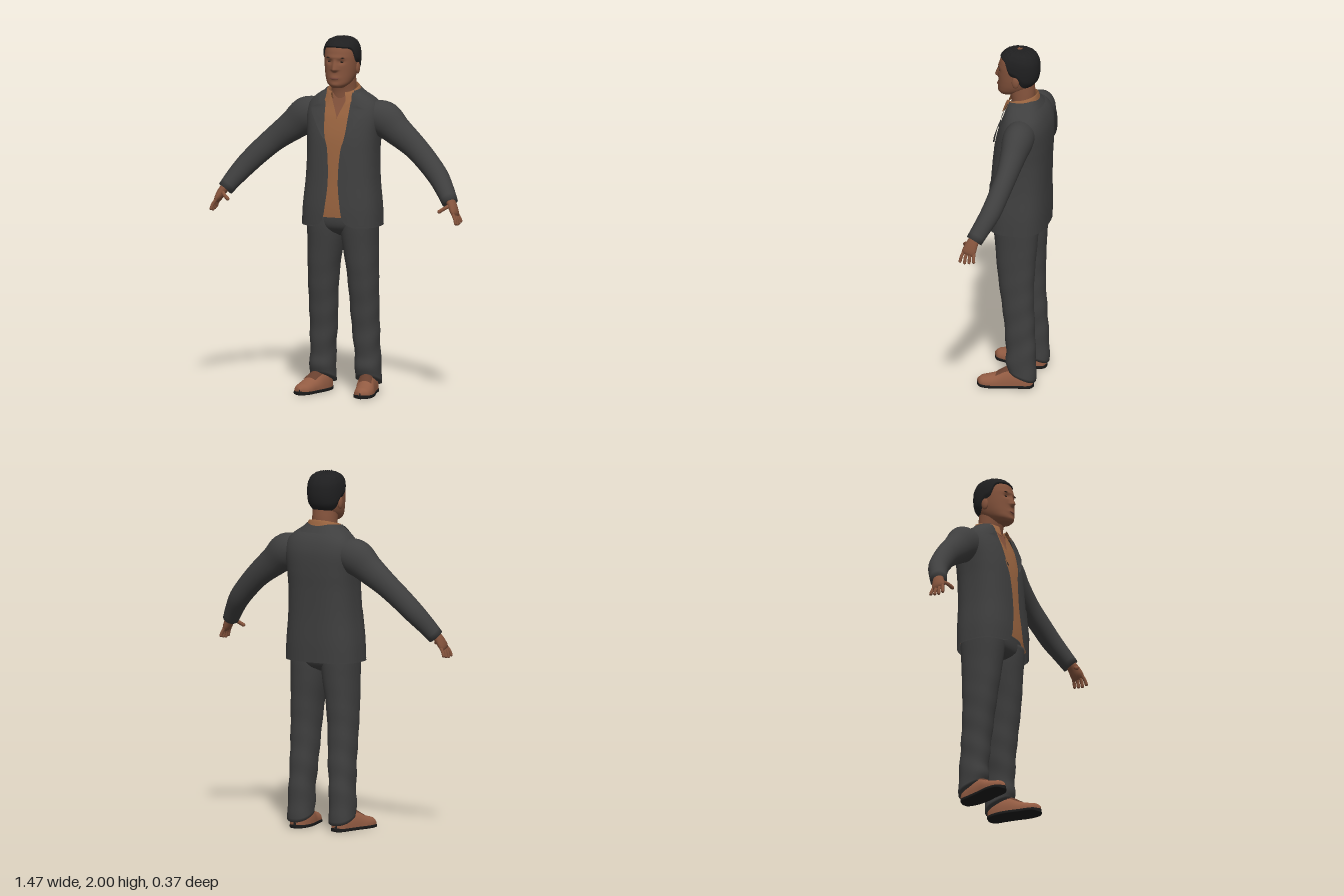
import * as THREE from 'three';
import { mergeVertices, mergeGeometries } from 'three/addons/utils/BufferGeometryUtils.js';

const mat = (name, color) => new THREE.MeshStandardMaterial({ name, color, side: THREE.DoubleSide });

// Smooth lookup in a table whose first column is an ascending key
function at(rows, k) {
  const n = rows.length - 1;
  let i = 0;
  while (i < n - 1 && k > rows[i + 1][0]) i++;
  const a = rows[i], b = rows[i + 1], h = b[0] - a[0];
  const t = THREE.MathUtils.clamp((k - a[0]) / h, 0, 1), t2 = t * t, t3 = t2 * t;
  const slope = (j, c) => {
    const p = rows[Math.max(0, j - 1)], q = rows[Math.min(n, j + 1)];
    return (q[c] - p[c]) / (q[0] - p[0]) * h;
  };
  return a.map((v, c) => v * (2 * t3 - 3 * t2 + 1) + b[c] * (3 * t2 - 2 * t3)
    + slope(i, c) * (t3 - 2 * t2 + t) + slope(i + 1, c) * (t3 - t2));
}

// Grid surface: fn(u, v) returns [x, y, z]; outside is du x dv
function sheet(nu, nv, fn) {
  const pos = [], idx = [];
  for (let j = 0; j <= nv; j++) for (let i = 0; i <= nu; i++) pos.push(...fn(i / nu, j / nv, j));
  for (let j = 0; j < nv; j++) for (let i = 0; i < nu; i++) {
    const a = j * (nu + 1) + i, c = a + nu + 1;
    idx.push(a, a + 1, c + 1, a, c + 1, c);
  }
  let g = new THREE.BufferGeometry();
  g.setAttribute('position', new THREE.Float32BufferAttribute(pos, 3));
  g.setIndex(idx);
  g = mergeVertices(g, 1e-5);
  g.computeVertexNormals();
  return g;
}

const spow = (v, p) => Math.sign(v) * Math.pow(Math.abs(v), p);

// Point on a rounded horizontal section; row = [y, centreX, halfWidth, zFront, zBack]
function ringPoint([y, cx, w, zf, zb], a, p, inset = 0) {
  const d = (zf - zb) / 2 - inset;
  return [cx + (w - inset) * spow(Math.sin(a), p), y, (zf + zb) / 2 + d * spow(Math.cos(a), p)];
}

// Upright loft, optionally open at the front by gap(y) to either side
function loft(rows, { p = 0.85, nu = 40, nv = 32, inset = 0, gap = null, caps = false, bump = null, from, to } = {}) {
  const y0 = from ?? rows[0][0], y1 = to ?? rows[rows.length - 1][0], e = caps ? 1 : 0;
  return sheet(nu, nv + 2 * e, (u, v, j) => {
    const t = THREE.MathUtils.clamp((j - e) / nv, 0, 1);
    const r = at(rows, y0 + (y1 - y0) * t);
    const a0 = gap ? Math.asin(Math.min(0.95, Math.pow(Math.max(0, gap(r[0])) / (r[2] - inset), 1 / p))) : 0;
    const a = a0 + u * (Math.PI * 2 - 2 * a0);
    if (caps && (j === 0 || j === nv + 2)) return [r[1], r[0], (r[3] + r[4]) / 2];
    const q = ringPoint(r, a, p, inset);
    return bump ? bump(q, a) : q;
  });
}

// Limb along a path; row = [x, y, z, half thickness in the xy plane, half thickness across]
function limb(rows, nu = 24, nv = 24) {
  const x0 = rows[0][0], x1 = rows[rows.length - 1][0];
  return sheet(nu, nv + 2, (u, v, j) => {
    const x = x0 + (x1 - x0) * THREE.MathUtils.clamp((j - 1) / nv, 0, 1), r = at(rows, x);
    const e = (x1 - x0) * 0.02, lo = at(rows, Math.max(x0, x - e)), hi = at(rows, Math.min(x1, x + e));
    const T = new THREE.Vector3(hi[0] - lo[0], hi[1] - lo[1], hi[2] - lo[2]).normalize();
    const U = new THREE.Vector3(0, 0, 1).cross(T).normalize(), V = T.clone().cross(U);
    const c = new THREE.Vector3(r[0], r[1], r[2]);
    if (j > 0 && j < nv + 2) {
      c.addScaledVector(U, r[3] * Math.cos(u * Math.PI * 2)).addScaledVector(V, r[4] * Math.sin(u * Math.PI * 2));
    }
    return c.toArray();
  });
}

function finger(points, r) {
  const v = points.map((p) => new THREE.Vector3(...p));
  const tip = new THREE.SphereGeometry(r, 10, 8).translate(...points[points.length - 1]);
  return mergeGeometries([new THREE.TubeGeometry(new THREE.CatmullRomCurve3(v), 8, r, 10), tip]);
}

const ball = (sx, sy, sz, x, y, z) => new THREE.SphereGeometry(1, 20, 14).scale(sx, sy, sz).translate(x, y, z);

function mirrored(geo) {
  const g = geo.clone().scale(-1, 1, 1), ix = g.index;
  for (let i = 0; i < ix.count; i += 3) {
    const b = ix.getX(i + 1);
    ix.setX(i + 1, ix.getX(i + 2));
    ix.setX(i + 2, b);
  }
  g.computeVertexNormals();
  return g;
}

const TORSO = [[0.945, 0, 0.225, 0.15, -0.175], [1.05, 0, 0.22, 0.15, -0.178], [1.2, 0, 0.205, 0.14, -0.178],
  [1.35, 0, 0.2, 0.128, -0.182], [1.45, 0, 0.205, 0.115, -0.187], [1.55, 0, 0.213, 0.09, -0.185],
  [1.61, 0, 0.203, 0.068, -0.17], [1.65, 0, 0.172, 0.055, -0.148], [1.68, 0, 0.13, 0.045, -0.12], [1.705, 0, 0.085, 0.035, -0.1]];
const OPENING = [[0.945, 0.125], [0.952, 0.1], [0.97, 0.072], [1.0, 0.056], [1.05, 0.046], [1.2, 0.03],
  [1.38, 0.04], [1.45, 0.06], [1.55, 0.07], [1.69, 0.076], [1.705, 0.07]];
const LAPEL = [[1.43, 0], [1.52, 0.05], [1.6, 0.085], [1.62, 0.045], [1.66, 0.04], [1.69, 0.02]];
const HEAD = [[1.72, 0, 0.034, 0.1, 0.02], [1.74, 0, 0.06, 0.111, -0.02], [1.77, 0, 0.077, 0.112, -0.07],
  [1.81, 0, 0.087, 0.111, -0.1], [1.85, 0, 0.091, 0.111, -0.112], [1.89, 0, 0.092, 0.108, -0.114],
  [1.93, 0, 0.088, 0.1, -0.108], [1.96, 0, 0.075, 0.082, -0.09], [1.98, 0, 0.05, 0.05, -0.06], [1.99, 0, 0.006, 0.0, -0.015]];
const HAIRLINE = [[-1, 1.775], [-0.4, 1.8], [-0.05, 1.85], [0.25, 1.87], [0.5, 1.928], [1, 1.945]];
const LEG = [[0.07, 0.135, 0.07, 0.022, -0.135], [0.12, 0.135, 0.072, 0.03, -0.138], [0.2, 0.133, 0.068, 0.03, -0.135],
  [0.4, 0.124, 0.075, 0.045, -0.125], [0.55, 0.121, 0.079, 0.065, -0.12], [0.7, 0.115, 0.085, 0.085, -0.125],
  [0.85, 0.103, 0.096, 0.1, -0.135], [0.93, 0.1, 0.1, 0.108, -0.14], [1.0, 0.1, 0.1, 0.11, -0.14]];
const ARM = [[0.14, 1.56, -0.06, 0.08, 0.08], [0.23, 1.535, -0.06, 0.102, 0.085], [0.31, 1.475, -0.055, 0.085, 0.07],
  [0.415, 1.395, -0.045, 0.07, 0.058], [0.5, 1.318, -0.025, 0.064, 0.056], [0.575, 1.24, 0, 0.059, 0.055],
  [0.63, 1.17, 0.035, 0.051, 0.05], [0.67, 1.112, 0.065, 0.044, 0.047]];
const PALM = [[0.66, 1.135, 0.058, 0.025, 0.028], [0.685, 1.1, 0.072, 0.024, 0.034], [0.705, 1.06, 0.085, 0.019, 0.04], [0.712, 1.043, 0.09, 0.011, 0.036]];
// Shoe rows: [z, centreX, halfWidth, height]
const SHOE = [[-0.125, 0.135, 0.008, 0.03], [-0.115, 0.135, 0.036, 0.07], [-0.05, 0.137, 0.052, 0.1], [0.02, 0.15, 0.056, 0.095],
  [0.08, 0.168, 0.056, 0.062], [0.13, 0.176, 0.052, 0.046], [0.165, 0.179, 0.038, 0.036], [0.185, 0.18, 0.004, 0.016]];

const TORSO_P = 0.75;
const opening = (y) => at(OPENING, y)[1];
// Point lying on the jacket front, lifted by off
function onFront(x, y, off) {
  const [, , w, zf, zb] = at(TORSO, y);
  const c = Math.sqrt(Math.max(0, 1 - Math.pow(Math.min(1, Math.abs(x) / w), 2 / TORSO_P)));
  return [x, y, (zf + zb) / 2 + (zf - zb) / 2 * Math.pow(c, TORSO_P) + off];
}

// Nose, brow, eye sockets and mouth pushed out of the face
function face([x, y, z], a) {
  if (Math.cos(a) > 0) {
    const g = (dx, dy, sx, sy) => Math.exp(-((dx / sx) ** 2) - (dy / sy) ** 2);
    const s = THREE.MathUtils.clamp((1.885 - y) / 0.06, 0, 1) * THREE.MathUtils.clamp((y - 1.808) / 0.015, 0, 1);
    z += 0.024 * s * Math.exp(-((x / (0.009 + 0.008 * s)) ** 2));
    z += 0.005 * g(x, y - 1.892, 0.06, 0.012) + 0.006 * g(x, y - 1.777, 0.026, 0.013) + 0.005 * g(x, y - 1.737, 0.025, 0.014);
    z -= 0.009 * g(Math.abs(x) - 0.035, y - 1.868, 0.018, 0.013);
  }
  return [x, y, z];
}

export function createModel() {
  const root = new THREE.Group();
  root.name = 'manInSuit';
  const suit = mat('suitCharcoal', 0x3f3f3f), skin = mat('skin', 0x84533c), shirt = mat('shirtTan', 0x98633f),
    hair = mat('hairBlack', 0x1f1f20), shoe = mat('shoeLeather', 0x935c43), tongue = mat('shoeDarkLeather', 0x68402f),
    sole = mat('soleBlack', 0x1b1b1b), lip = mat('lips', 0x74453a), eye = mat('eyes', 0x33241d);

  const add = (name, geo, m) => {
    const mesh = new THREE.Mesh(geo, m);
    mesh.name = name;
    root.add(mesh);
  };
  const pair = (name, geo, m) => {
    add(name + 'Left', geo, m);
    add(name + 'Right', mirrored(geo), m);
  };

  // Jacket
  add('jacket', loft(TORSO, { p: TORSO_P, nu: 64, nv: 70, gap: opening }), suit);
  pair('sleeve', limb(ARM, 28, 32), suit);
  pair('lapel', sheet(8, 40, (u, v) => {
    const y = 1.43 + 0.26 * v;
    return onFront(opening(y) + u * Math.max(0, at(LAPEL, y)[1]), y, 0.005 + 0.008 * u);
  }), suit);
  pair('pocket', sheet(8, 8, (u, v) => onFront(0.1 + 0.085 * u, 1.06 + 0.16 * v, 0.005)), suit);
  add('jacketCollar', sheet(40, 4, (u, v) => {
    const a = 0.95 + u * (Math.PI * 2 - 1.9), f = (1 + Math.cos(a)) / 2;
    return ringPoint([1.665 + 0.05 * v - 0.02 * f, 0, 0.152 - 0.055 * v, 0.062, -0.142 + 0.03 * v], a, 0.85);
  }), suit);

  // Shirt with open neck and folded collar
  add('shirt', loft(TORSO, { p: TORSO_P, nu: 56, nv: 50, inset: 0.012, from: 1.0, to: 1.69, gap: (y) => Math.max(0, y - 1.55) * 0.42 }), shirt);
  add('shirtCollar', sheet(40, 8, (u, v) => {
    const a = 0.45 + u * (Math.PI * 2 - 0.9), f = (1 + Math.cos(a)) / 2;
    const r = at([[0, 1.67 - 0.02 * f, 0.072, 0.045, -0.095], [0.4, 1.735 - 0.045 * f, 0.08, 0.058, -0.106],
      [1, 1.695 - 0.085 * f ** 3, 0.104, 0.088, -0.122]], v);
    return ringPoint([r[1], 0, r[2], r[3], r[4]], a, 0.85);
  }), shirt);

  // Head, neck and chest
  add('chest', loft(TORSO, { p: TORSO_P, inset: 0.019, from: 1.45, to: 1.69 }), skin);
  add('neck', loft([[1.6, 0, 0.075, 0.035, -0.1], [1.69, 0, 0.07, 0.036, -0.095], [1.74, 0, 0.07, 0.048, -0.095], [1.79, 0, 0.07, 0.06, -0.09]], { p: 0.95, nv: 12 }), skin);
  add('head', loft(HEAD, { p: 0.9, nu: 96, nv: 72, caps: true, bump: face }), skin);
  pair('ear', ball(0.012, 0.034, 0.021, 0.09, 1.825, -0.008), skin);
  pair('eye', ball(0.012, 0.005, 0.005, 0.035, 1.867, 0.095), eye);
  pair('eyebrow', ball(0.019, 0.0035, 0.006, 0.037, 1.89, 0.1), eye);
  add('lips', ball(0.024, 0.006, 0.006, 0, 1.775, 0.114), lip);
  add('hair', sheet(72, 28, (u, v) => {
    const a = u * Math.PI * 2, start = at(HAIRLINE, Math.cos(a))[1];
    const q = ringPoint(at(HEAD, start + (1.99 - start) * Math.sin(v * Math.PI / 2)), a, 0.9, -0.009 * Math.min(1, v * 10));
    const tuft = 0.006 * Math.abs(Math.sin(9 * a) * Math.sin(v * 17)) * v * (1 - v ** 8);
    return [q[0], q[1] + 0.006 * v + tuft, q[2]];
  }), hair);
  // Short tufts along the crown
  const tufts = [];
  for (let i = 0; i < 15; i++) {
    const x = 0.035 * Math.sin(i * 2.4), z = 0.045 - i * 0.007;
    tufts.push(new THREE.ConeGeometry(0.012, 0.022, 6).rotateX(-0.5).translate(x, 1.987 - 6 * x * x, z));
  }
  add('hairTufts', mergeGeometries(tufts), hair);

  // Hands
  pair('palm', limb(PALM, 20, 10), skin);
  for (let k = 0; k < 4; k++) {
    const s = k - 1.5, drop = 0.006 * Math.abs(s - 0.3);
    pair('finger' + (k + 1), finger([[0.703, 1.062, 0.085 + 0.019 * s], [0.722, 1.028, 0.089 + 0.024 * s],
      [0.728, 1.0 + drop, 0.09 + 0.026 * s]], 0.0092), skin);
  }
  pair('thumb', finger([[0.678, 1.1, 0.085], [0.655, 1.085, 0.115], [0.63, 1.068, 0.129]], 0.0105), skin);

  // Trousers with cuffs lower at the heel
  add('trouserSeat', loft([[0.885, 0, 0.05, 0.02, -0.06], [0.91, 0, 0.13, 0.075, -0.115], [0.95, 0, 0.19, 0.105, -0.14], [1.03, 0, 0.195, 0.11, -0.145]], { caps: true, nv: 16 }), suit);
  pair('trouserLeg', loft(LEG, {
    p: 0.88, nv: 60, caps: true,
    bump: ([x, y, z], a) => {
      const low = Math.max(0, 1 - (y - 0.07) / 0.15), fold = 0.003 * Math.sin(y * 42 + Math.cos(a) * 2) * Math.max(0, 1 - y / 0.9);
      return [x + fold * Math.sin(a), y + 0.034 * Math.cos(a) * low, z + fold * Math.cos(a)];
    },
  }), suit);

  // Shoes
  const shoePoint = (a, z, grow) => {
    const [, cx, w, h] = at(SHOE, z);
    return [cx + (w + grow) * Math.cos(a), 0.018 + (h + grow) * Math.pow(Math.max(0, Math.sin(a)), 0.85), z];
  };
  pair('shoeUpper', sheet(24, 40, (u, v) => shoePoint(u * Math.PI, -0.125 + 0.31 * v, 0)), shoe);
  pair('shoeTongue', sheet(12, 10, (u, v) => shoePoint((0.28 + 0.44 * u) * Math.PI, 0.0 + 0.075 * v, 0.003)), tongue);
  pair('shoeSole', sheet(32, 42, (u, v, j) => {
    const z = -0.125 + 0.31 * THREE.MathUtils.clamp((j - 1) / 40, 0, 1), [, cx, w] = at(SHOE, z), a = u * Math.PI * 2;
    if (j === 0 || j === 42) return [cx, 0.011, z];
    return [cx + (w + 0.003) * spow(Math.cos(a), 0.4), 0.011 + 0.011 * spow(Math.sin(a), 0.4), z];
  }), sole);

  return root;
}
